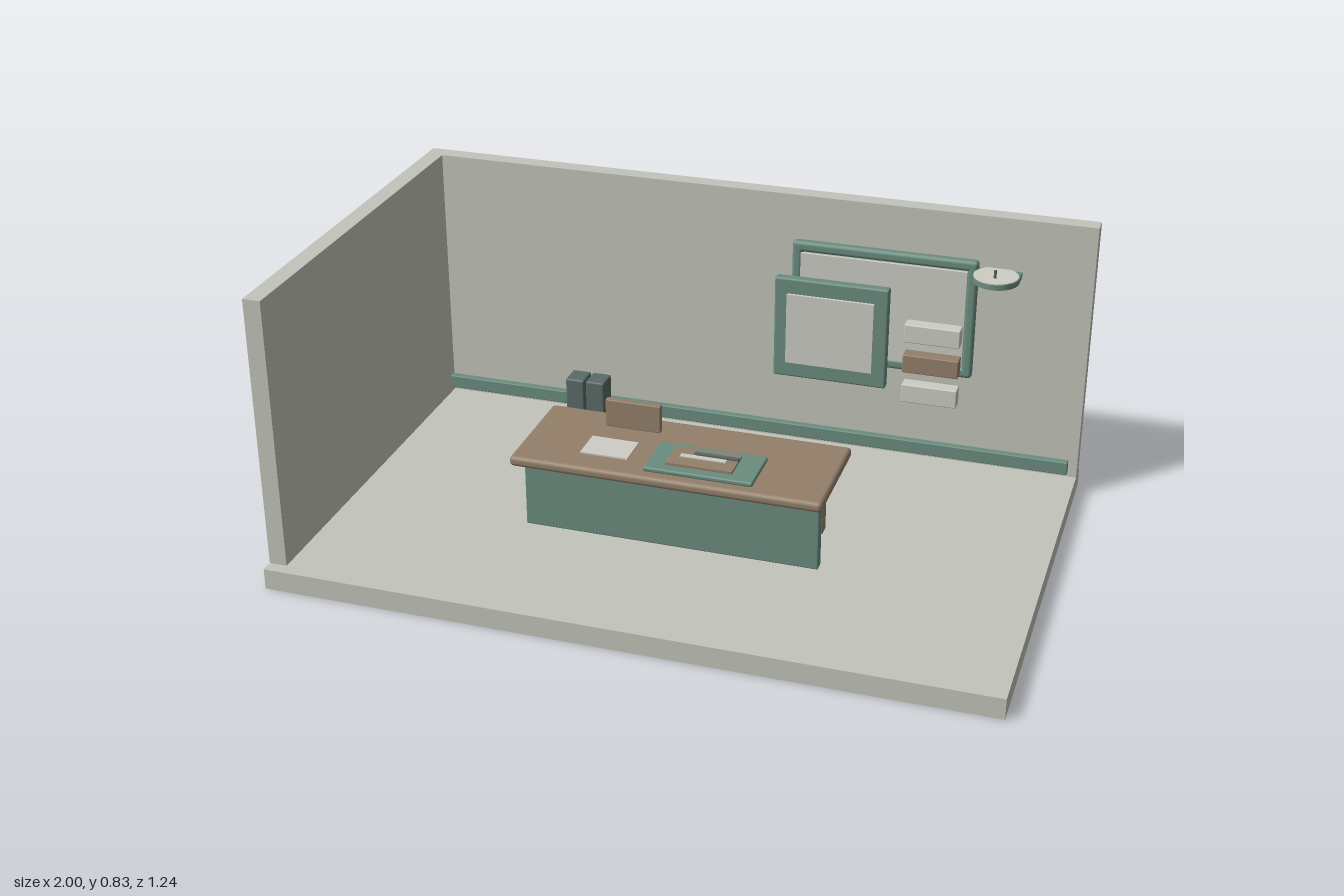
import * as THREE from 'three';
import { RoundedBoxGeometry } from 'three/addons/geometries/RoundedBoxGeometry.js';

export function createModel() {
  const root = new THREE.Group();
  root.name = 'officeRoom';
  const mat = (name, color) => {
    const m = new THREE.MeshStandardMaterial({ color });
    m.name = name;
    return m;
  };
  const wall = mat('warm grey', 0xc3c4ba);
  const pale = mat('pale grey', 0xcdcdc5);
  const green = mat('sage green', 0x6b8d80);
  const brown = mat('wood brown', 0x94806a);
  const dark = mat('dark slate', 0x5a6b67);

  const add = (name, geo, material, x, y, z, parent = root) => {
    const mesh = new THREE.Mesh(geo, material);
    mesh.name = name;
    mesh.position.set(x, y, z);
    parent.add(mesh);
    return mesh;
  };
  // Box given by its limits on each axis, with optional rounded edges
  const box = (name, material, [x0, x1], [y0, y1], [z0, z1], r = 0, parent = root) => {
    const s = [x1 - x0, y1 - y0, z1 - z0];
    const geo = r ? new RoundedBoxGeometry(...s, 2, r) : new THREE.BoxGeometry(...s);
    return add(name, geo, material, (x0 + x1) / 2, (y0 + y1) / 2, (z0 + z1) / 2, parent);
  };
  const group = (name) => {
    const g = new THREE.Group();
    g.name = name;
    root.add(g);
    return g;
  };

  // Room shell
  box('floor', wall, [-1, 1], [0, 0.06], [-0.62, 0.62]);
  box('backWall', wall, [-1, 1], [0.06, 0.835], [-0.6, -0.55]);
  box('sideWall', wall, [-1, -0.95], [0.06, 0.835], [-0.55, 0.585]);
  box('wallRail', green, [-0.95, 0.975], [0.078, 0.118], [-0.543, -0.521], 0.003);

  // Desk
  const desk = group('desk');
  box('deskTop', brown, [-0.44, 0.435], [0.268, 0.298], [-0.1, 0.238], 0.012, desk);
  box('frontPanel', green, [-0.42, 0.415], [0.06, 0.268], [0.145, 0.176], 0.004, desk);
  for (const x of [-0.36, 0.36]) {
    box('deskLeg', brown, [x - 0.02, x + 0.02], [0.06, 0.268], [-0.048, -0.01], 0.003, desk);
  }
  box('deskScreen', brown, [-0.25, -0.09], [0.298, 0.38], [-0.034, -0.014], 0.003, desk);
  box('paper', pale, [-0.262, -0.127], [0.297, 0.302], [0.06, 0.16], 0, desk);

  // Desk mat with a board and two slim tools
  const deskMat = group('deskMat');
  box('matBase', green, [-0.067, 0.238], [0.298, 0.312], [0.05, 0.208], 0.005, deskMat);
  box('matBoard', brown, [-0.013, 0.173], [0.311, 0.319], [0.08, 0.178], 0, deskMat);
  box('paleTool', pale, [0.015, 0.143], [0.318, 0.322], [0.12, 0.136], 0, deskMat);
  box('darkTool', dark, [0.05, 0.173], [0.318, 0.325], [0.104, 0.116], 0, deskMat);

  // Pair of boot-shaped blocks behind the desk
  const boots = group('boots');
  for (const x of [-0.413, -0.352]) {
    box('bootShaft', dark, [x - 0.028, x + 0.028], [0.12, 0.328], [-0.27, -0.204], 0.006, boots);
    box('bootFoot', dark, [x - 0.031, x + 0.031], [0.082, 0.122], [-0.25, -0.15], 0.01, boots);
  }

  // Large wall frame
  const wallFrame = group('wallFrame');
  for (const [y0, y1] of [[0.342, 0.374], [0.673, 0.705]]) {
    box('frameRail', green, [0.142, 0.68], [y0, y1], [-0.55, -0.521], 0.011, wallFrame);
  }
  for (const [x0, x1] of [[0.142, 0.172], [0.65, 0.68]]) {
    box('framePost', green, [x0, x1], [0.342, 0.705], [-0.55, -0.521], 0.011, wallFrame);
  }
  box('framePanel', pale, [0.17, 0.652], [0.373, 0.674], [-0.522, -0.513], 0, wallFrame);

  // Smaller picture in front
  const picture = group('picture');
  box('pictureFrame', green, [0.112, 0.445], [0.31, 0.618], [-0.48, -0.45], 0.006, picture);
  box('picturePanel', pale, [0.15, 0.405], [0.358, 0.572], [-0.45, -0.441], 0, picture);

  // Stack of wall blocks
  [[0.284, pale], [0.377, brown], [0.471, pale]].forEach(([y, material]) => {
    box('wallBlock', material, [0.495, 0.655], [y, y + 0.055], [-0.48, -0.438], 0.003);
  });

  // Round wall shelf with a small pin
  const shelf = group('roundShelf');
  box('shelfBracket', green, [0.67, 0.8], [0.664, 0.68], [-0.55, -0.5], 0, shelf);
  add('shelfDisc', new THREE.CylinderGeometry(0.065, 0.065, 0.016, 32), green, 0.735, 0.672, -0.5, shelf);
  add('shelfTop', new THREE.CylinderGeometry(0.063, 0.063, 0.004, 32), pale, 0.735, 0.681, -0.498, shelf);
  add('pin', new THREE.CylinderGeometry(0.004, 0.004, 0.026, 8), dark, 0.735, 0.693, -0.479, shelf);

  return root;
}
